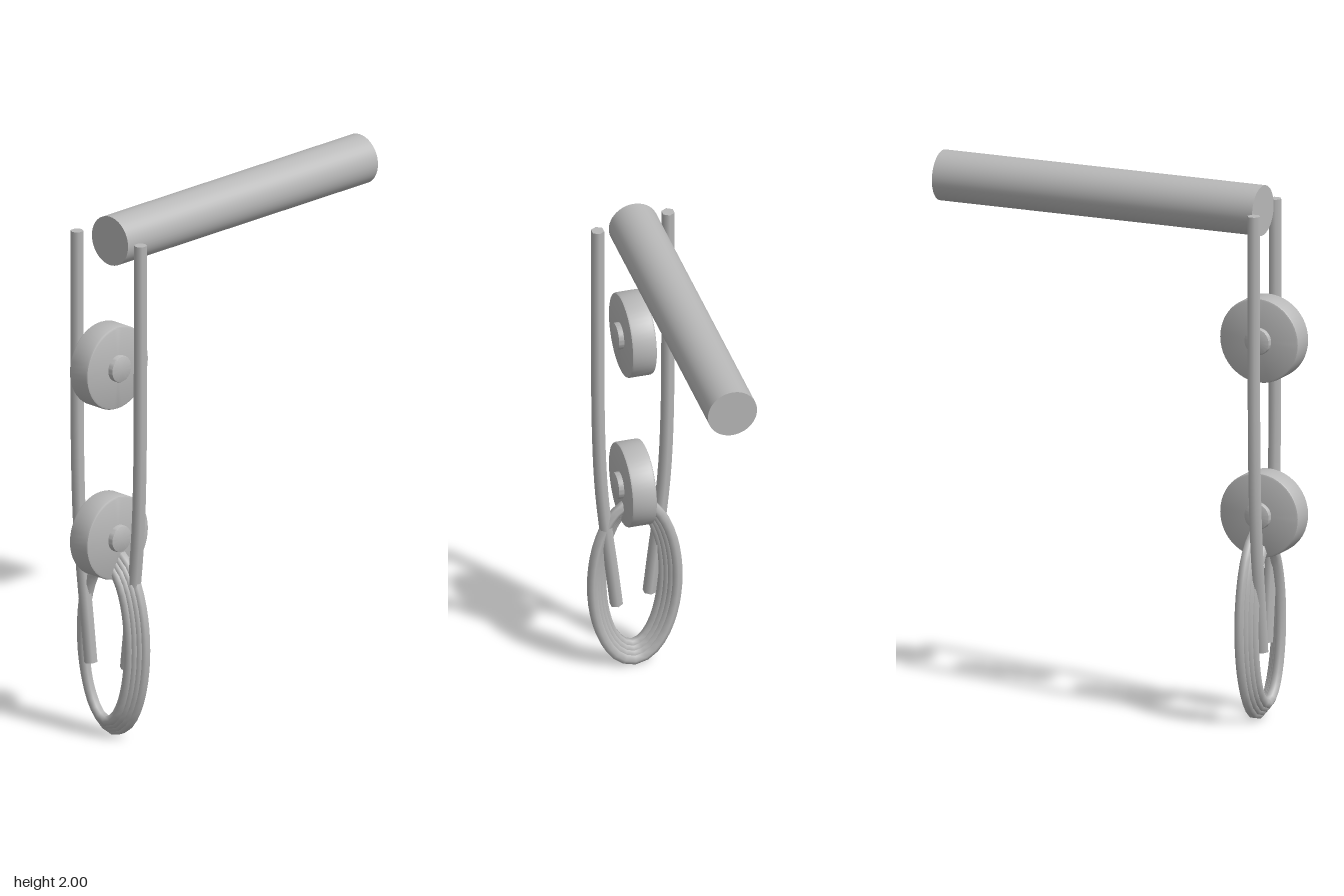
import * as THREE from 'three';
import { toCreasedNormals } from 'three/addons/utils/BufferGeometryUtils.js';

export function createModel() {
  const model = new THREE.Group();
  const grey = new THREE.MeshStandardMaterial({ color: 0xb8b8b8 });
  grey.name = 'grey';

  const add = (name, geometry, parent = model) => {
    const mesh = new THREE.Mesh(geometry, grey);
    mesh.name = name;
    parent.add(mesh);
    return mesh;
  };

  // Horizontal round beam
  const beam = add('beam', new THREE.CylinderGeometry(0.093, 0.093, 1.285, 48));
  beam.rotation.z = Math.PI / 2;
  beam.position.set(0.078, 1.907, 0);

  // Disc with softened rims, axis along z
  const disc = (radius, half, bevel) => {
    const profile = [
      [0, -half], [radius - bevel, -half], [radius - bevel * 0.3, -half + bevel * 0.3],
      [radius, -half + bevel], [radius, half - bevel],
      [radius - bevel * 0.3, half - bevel * 0.3], [radius - bevel, half], [0, half],
    ].map(([x, y]) => new THREE.Vector2(x, y));
    return toCreasedNormals(new THREE.LatheGeometry(profile, 48).rotateX(Math.PI / 2), 0.6);
  };

  // Two pulleys, each a wheel with a protruding axle
  for (const [name, y] of [['upperPulley', 1.43], ['lowerPulley', 0.776]]) {
    const pulley = new THREE.Group();
    pulley.name = name;
    pulley.position.set(-0.57, y, 0);
    add('wheel', disc(0.158, 0.047, 0.008), pulley);
    add('axle', disc(0.05, 0.068, 0.006), pulley);
    model.add(pulley);
  }

  // Hanging ropes: straight above, crossing inward to their free ends
  for (const [name, side, x] of [['frontRope', 1, -0.548], ['backRope', -1, -0.594]]) {
    const points = [[1.92, 0.14], [1.5, 0.14], [1.05, 0.137], [0.8, 0.127], [0.6, 0.108], [0.45, 0.089], [0.275, 0.069]]
      .map(([y, z]) => new THREE.Vector3(x, y, z * side));
    const path = new THREE.CatmullRomCurve3(points);
    const rope = new THREE.Group();
    rope.name = name;
    add('strand', new THREE.TubeGeometry(path, 24, 0.025, 6), rope);
    for (const t of [0, 1]) {
      const cap = add('ropeEnd', new THREE.CircleGeometry(0.025, 6), rope);
      cap.position.copy(path.getPoint(t));
      const outward = path.getTangent(t).multiplyScalar(t ? 1 : -1);
      cap.quaternion.setFromUnitVectors(new THREE.Vector3(0, 0, 1), outward);
    }
    model.add(rope);
  }

  // Nested oval loops of coiled rope, each a little smaller and further over
  const coil = new THREE.Group();
  coil.name = 'ropeCoil';
  for (let i = 0; i < 4; i++) {
    const bottom = 0.022 + 0.014 * i, top = 0.71 - 0.015 * i;
    const points = [];
    for (let k = 0; k < 20; k++) {
      const a = (k / 20) * Math.PI * 2;
      points.push(new THREE.Vector3(
        -0.546 - 0.012 * i,
        (top + bottom) / 2 + Math.sin(a) * (top - bottom) / 2,
        Math.cos(a) * (0.16 - 0.014 * i),
      ));
    }
    add('coilLoop', new THREE.TubeGeometry(new THREE.CatmullRomCurve3(points, true), 40, 0.021, 6, true), coil);
  }
  model.add(coil);

  return model;
}
